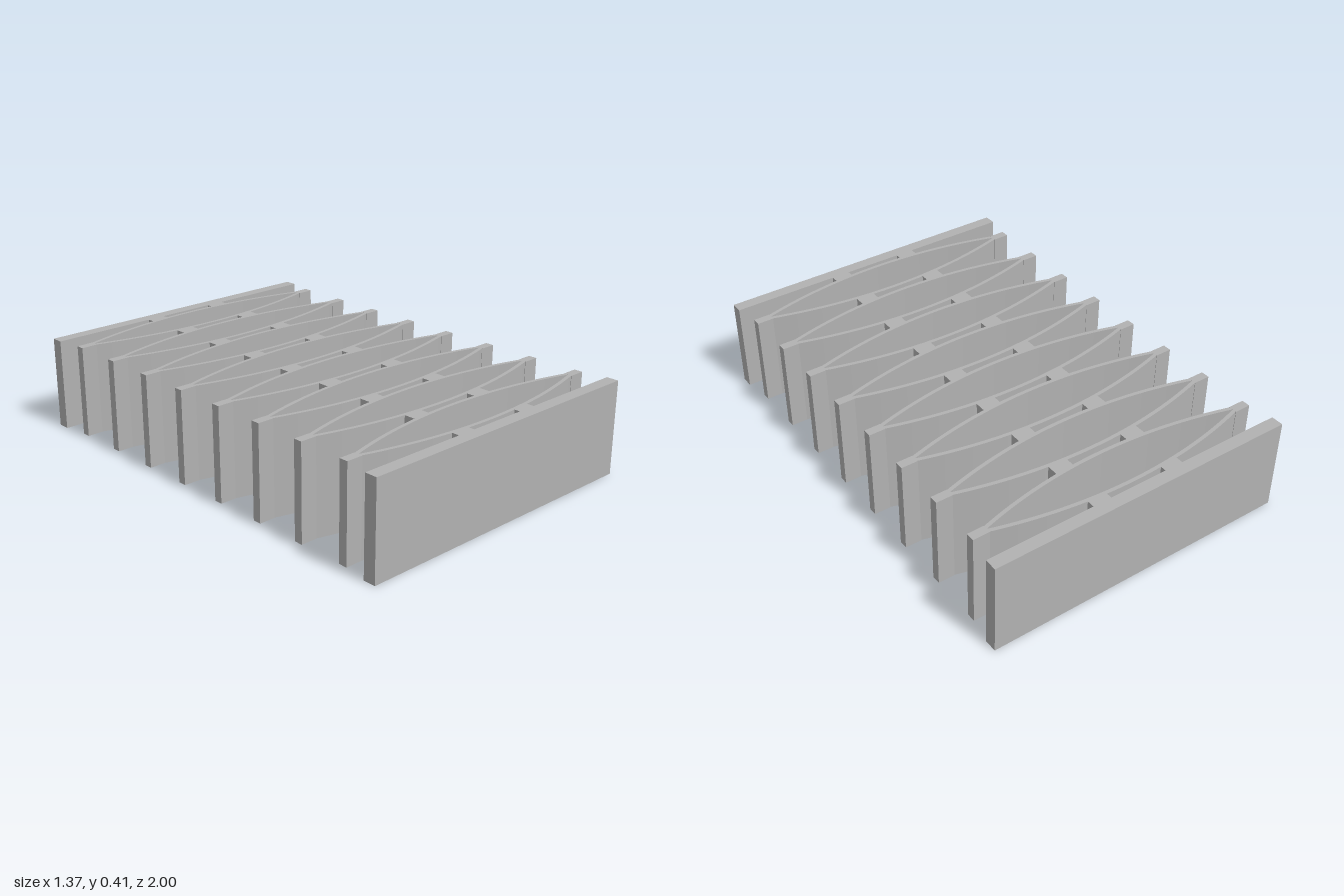
import * as THREE from 'three';

const HEIGHT = 0.408;
const PITCH = 0.2345;
const CELLS = 8;

export function createModel() {
  const model = new THREE.Group();
  model.name = 'leafSpringStack';
  const grey = new THREE.MeshStandardMaterial({ color: 0xb2b2b2 });
  grey.name = 'plain grey';

  const add = (name, geometry, x, y, z) => {
    const mesh = new THREE.Mesh(geometry, grey);
    mesh.name = name;
    mesh.position.set(x, y, z);
    model.add(mesh);
  };
  const block = (name, x0, x1, z0, z1) =>
    add(name, new THREE.BoxGeometry(x1 - x0, HEIGHT, z1 - z0),
      (x0 + x1) / 2, HEIGHT / 2, (z0 + z1) / 2);

  // Points of a lens: two shallow arcs, each of the given rise above its ends
  const lens = (halfWidth, endHeight, rise, steps = 32) => {
    const radius = (halfWidth ** 2 + rise ** 2) / (2 * rise);
    const sweep = Math.asin(halfWidth / radius);
    const points = [];
    for (const side of [1, -1]) {
      for (let i = 0; i <= steps; i++) {
        const a = sweep * (1 - 2 * i / steps) * side;
        const y = endHeight + rise - radius * (1 - Math.cos(a));
        points.push(new THREE.Vector2(radius * Math.sin(a), y * side));
      }
    }
    return points;
  };

  // Bowed spring ring, open through its height
  const ring = new THREE.Shape(lens(0.6, 0.015, 0.089));
  ring.holes.push(new THREE.Path(lens(0.59, 0.001, 0.087).reverse()));
  const ringGeometry = new THREE.ExtrudeGeometry(ring, { depth: HEIGHT, bevelEnabled: false });
  ringGeometry.rotateX(-Math.PI / 2);

  for (let i = 0; i < CELLS; i++) {
    const z = (i - (CELLS - 1) / 2) * PITCH;
    add('springRing', ringGeometry, 0, 0, z);
    // End tabs where the two leaves meet
    block('leftTab', 0.592, 0.664, z - 0.019, z + 0.019);
    block('rightTab', -0.664, -0.592, z - 0.019, z + 0.019);
  }

  // Paired spacers between neighbouring rings
  for (let i = 1; i < CELLS; i++) {
    const z = (i - CELLS / 2) * PITCH;
    block('leftSpacer', 0.13, 0.213, z - 0.026, z + 0.026);
    block('rightSpacer', -0.213, -0.13, z - 0.026, z + 0.026);
  }

  // End plates with their spacers
  for (const side of [1, -1]) {
    const name = side > 0 ? 'front' : 'back';
    const span = (a, b) => (side > 0 ? [a, b] : [-b, -a]);
    block(name + 'Plate', -0.684, 0.684, ...span(0.946, 1));
    block(name + 'LeftSpacer', 0.13, 0.213, ...span(0.912, 0.946));
    block(name + 'RightSpacer', -0.213, -0.13, ...span(0.912, 0.946));
  }
  return model;
}
